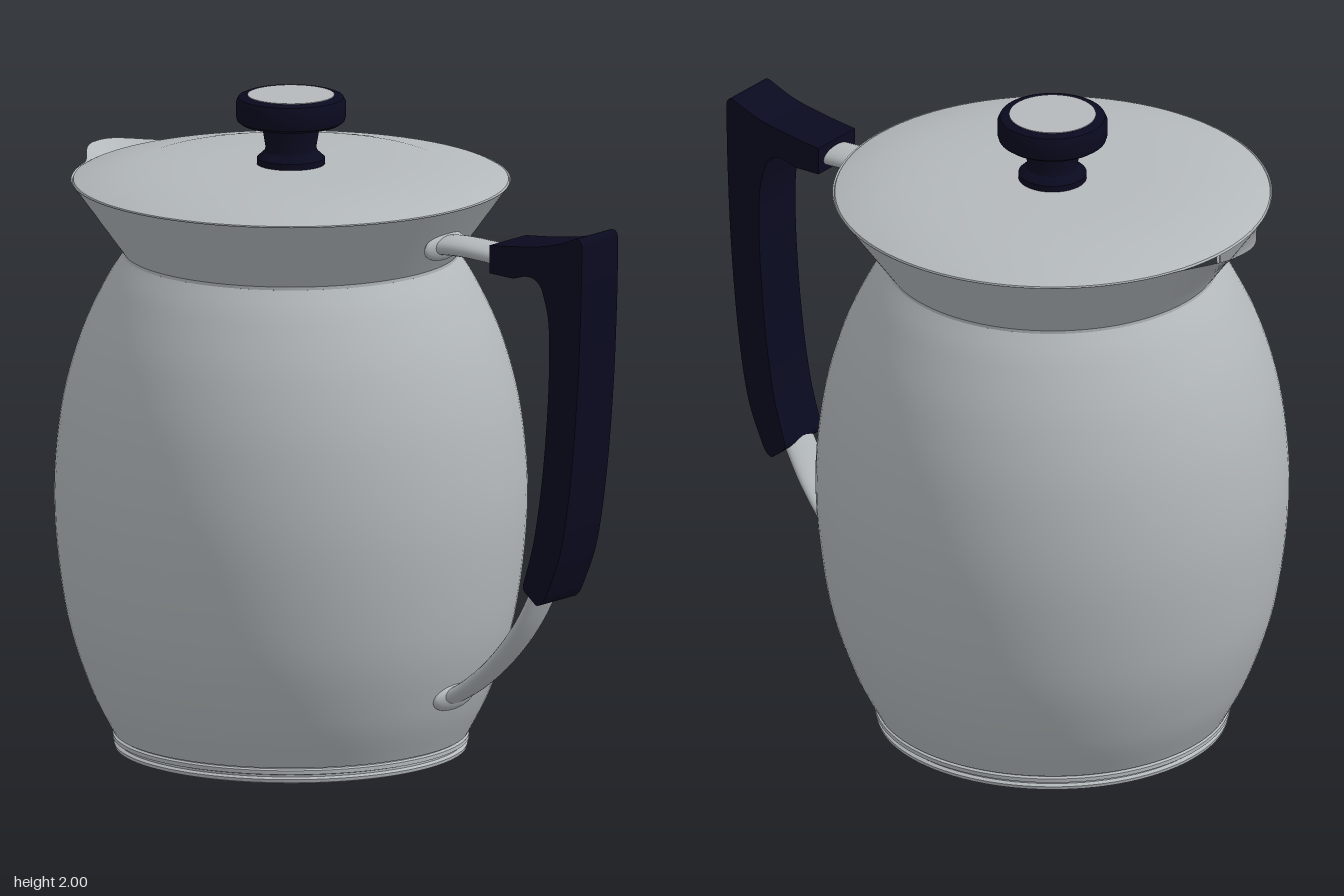
import * as THREE from 'three';
import { toCreasedNormals } from 'three/addons/utils/BufferGeometryUtils.js';

const AXIS = -0.225; // x of the pot's axis

export function createModel() {
  const group = new THREE.Group();
  const steel = new THREE.MeshStandardMaterial({ color: 0xb4b9bc, name: 'steel' });
  const steelSheet = new THREE.MeshStandardMaterial({ color: 0xb4b9bc, name: 'steelSheet', side: THREE.DoubleSide });
  const navy = new THREE.MeshStandardMaterial({ color: 0x0a0a20, name: 'navy' });

  const v2 = (list) => list.map(([x, y]) => new THREE.Vector2(x, y));
  const add = (name, geometry, material, x = 0, y = 0, z = 0) => {
    const mesh = new THREE.Mesh(geometry, material);
    mesh.name = name;
    mesh.position.set(x, y, z);
    group.add(mesh);
    return mesh;
  };
  const lathe = (name, points, material, segments = 96) =>
    add(name, toCreasedNormals(new THREE.LatheGeometry(points, segments), 0.5), material, AXIS);

  // Stepped foot with closed underside
  lathe('base', v2([[0, 0], [0.515, 0], [0.528, 0.006], [0.53, 0.016], [0.52, 0.022], [0.52, 0.028],
    [0.534, 0.032], [0.534, 0.044], [0.525, 0.048], [0.525, 0.06]]), steel);

  // Barrel-shaped body
  const bodyCurve = new THREE.SplineCurve(v2([[0.532, 0.052], [0.605, 0.2], [0.675, 0.43], [0.71, 0.75],
    [0.691, 1.03], [0.636, 1.25], [0.56, 1.42], [0.5, 1.515]]));
  lathe('body', bodyCurve.getPoints(40), steel);

  // Flared collar, its rim drawn out into a small spout on -x
  const collarPoints = v2([[0.492, 1.505], [0.502, 1.512], [0.502, 1.522]]);
  for (let i = 1; i <= 12; i++) {
    const t = i / 12;
    collarPoints.push(new THREE.Vector2(0.502 + 0.157 * t, 1.522 + 0.218 * t));
  }
  const collar = new THREE.LatheGeometry(collarPoints, 160);
  const p = collar.attributes.position;
  for (let i = 0; i < p.count; i++) {
    const x = p.getX(i), y = p.getY(i), z = p.getZ(i);
    const off = Math.abs(Math.atan2(z, -x));
    if (off > 0.32) continue;
    const side = 1 - THREE.MathUtils.smoothstep(off, 0.02, 0.32);
    const t = Math.max(0, (y - 1.522) / 0.218);
    const push = side * t ** 3;
    const k = 1 + 0.075 * push / Math.hypot(x, z);
    p.setXYZ(i, x * k, y + 0.018 * push, z * k);
  }
  add('collar', toCreasedNormals(collar, 0.6), steelSheet, AXIS);

  // Shallow lid
  lathe('lid', v2([[0.655, 1.735], [0.652, 1.742], [0.645, 1.745], [0.55, 1.764], [0.45, 1.785],
    [0.25, 1.788], [0, 1.79]]), steelSheet);

  // Knob with a metal disc on top
  lathe('knob', v2([[0.102, 1.78], [0.102, 1.808], [0.08, 1.828], [0.076, 1.84], [0.088, 1.912], [0.15, 1.914],
    [0.161, 1.922], [0.165, 1.935], [0.165, 1.978], [0.158, 1.993], [0.145, 1.999], [0, 1.999]]), navy, 64);
  add('knobDisc', new THREE.CylinderGeometry(0.13, 0.13, 0.006, 64), steel, AXIS, 1.998);

  // Handle grip
  const grip = new THREE.Shape();
  grip.moveTo(0.6, 1.582);
  grip.lineTo(0.6, 1.668);
  grip.splineThru(v2([[0.72, 1.68], [0.83, 1.698], [0.925, 1.732]]));
  grip.quadraticCurveTo(0.952, 1.738, 0.952, 1.7);
  grip.splineThru(v2([[0.947, 1.5], [0.934, 1.25], [0.908, 0.98], [0.87, 0.76], [0.815, 0.62]]));
  grip.quadraticCurveTo(0.795, 0.58, 0.775, 0.587);
  grip.lineTo(0.735, 0.62);
  grip.quadraticCurveTo(0.722, 0.632, 0.73, 0.65);
  grip.splineThru(v2([[0.77, 0.79], [0.803, 1.0], [0.824, 1.25], [0.825, 1.45], [0.802, 1.55]]));
  grip.quadraticCurveTo(0.785, 1.598, 0.73, 1.59);
  grip.lineTo(0.69, 1.578);
  grip.closePath();
  const gripGeometry = new THREE.ExtrudeGeometry(grip, { depth: 0.176, bevelEnabled: false, curveSegments: 8 });
  add('handleGrip', toCreasedNormals(gripGeometry, 0.5), navy, 0, 0, -0.088);

  // Flattened rods joining the grip to the pot
  const rod = (name, points, radius) => {
    const path = new THREE.CatmullRomCurve3(points.map(([x, y]) => new THREE.Vector3(x, y, 0)));
    add(name, new THREE.TubeGeometry(path, 32, radius, 24), steel).scale.z = 0.063 / radius;
  };
  rod('upperRod', [[0.33, 1.618], [0.42, 1.626], [0.52, 1.624], [0.64, 1.615]], 0.03);
  rod('lowerRod', [[0.37, 0.225], [0.47, 0.285], [0.58, 0.38], [0.68, 0.505], [0.77, 0.67]], 0.024);

  // Oval mounting pads lying against the pot
  const pad = (name, x, y, tilt) => {
    const mesh = add(name, new THREE.SphereGeometry(1, 32, 20), steel, x, y);
    mesh.scale.set(0.022, 0.044, 0.095);
    mesh.rotation.z = tilt;
  };
  pad('upperPad', 0.36, 1.617, -0.2);
  pad('lowerPad', 0.395, 0.238, -0.35);

  return group;
}
